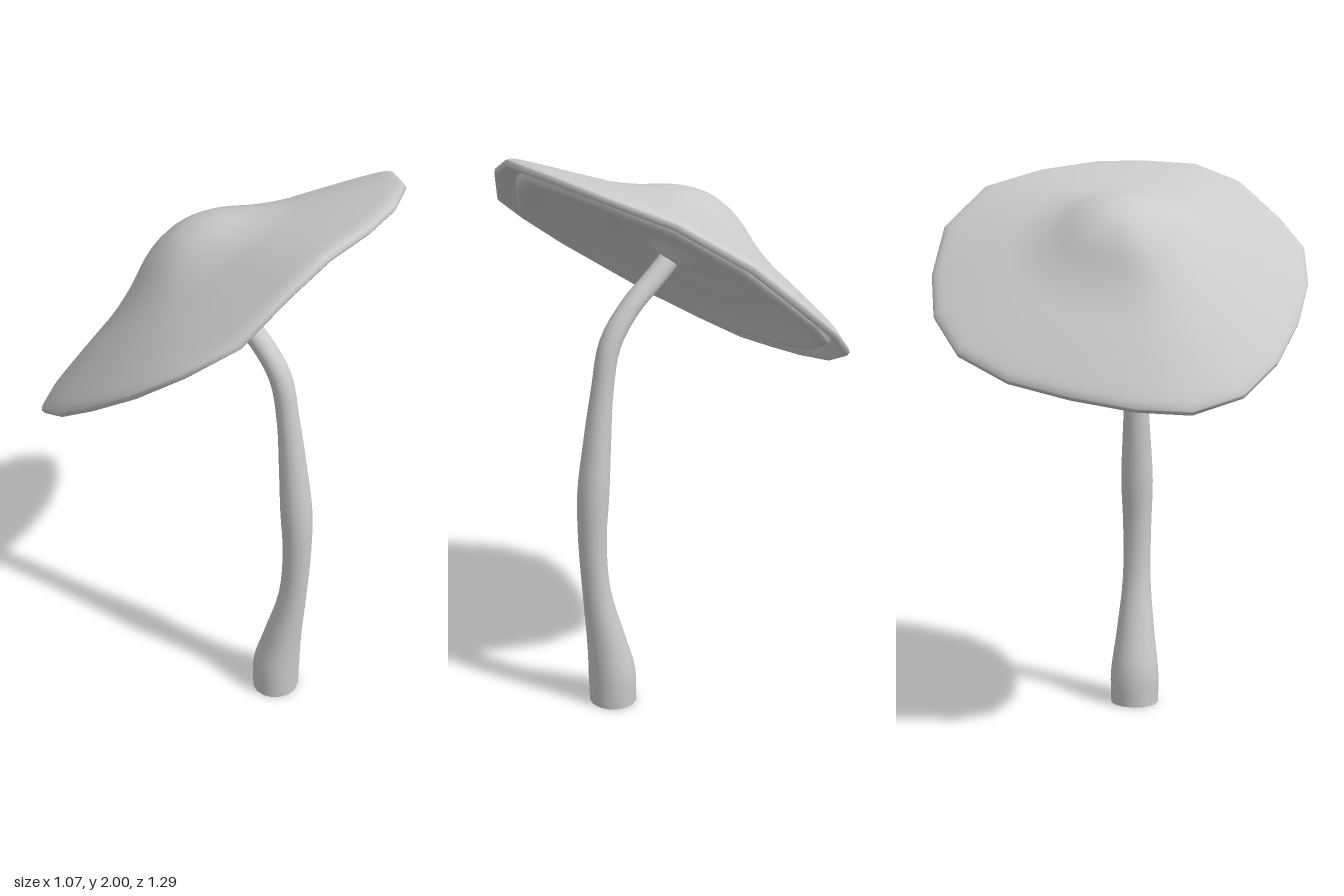
import * as THREE from 'three';
import { mergeVertices } from 'three/addons/utils/BufferGeometryUtils.js';

const V = (x, y, z) => new THREE.Vector3(x, y, z);

// Uneven outline of the cap, counter-clockwise seen from above
const RIM = [
  [0.53, 1.995, 0.03], [0.525, 1.993, -0.15], [0.46, 1.96, -0.36], [0.33, 1.9, -0.54],
  [0.12, 1.76, -0.645], [-0.08, 1.6, -0.645], [-0.25, 1.47, -0.6], [-0.39, 1.36, -0.49],
  [-0.46, 1.28, -0.31], [-0.5, 1.235, -0.1], [-0.53, 1.203, 0.12], [-0.52, 1.195, 0.3],
  [-0.44, 1.243, 0.46], [-0.29, 1.335, 0.56], [-0.12, 1.45, 0.62], [0.06, 1.57, 0.647],
  [0.23, 1.69, 0.627], [0.37, 1.79, 0.535], [0.455, 1.92, 0.385], [0.5, 1.983, 0.22],
].map((p) => V(...p));
const CENTRE = V(0, 1.595, 0);
const AXIS = V(-0.6, 0.797, 0.084).normalize();

// Skin closed rings of equal length into one smooth surface
function loft(name, rings, material) {
  const n = rings[0].length;
  const index = [];
  for (let i = 0; i < rings.length - 1; i++) {
    for (let j = 0; j < n; j++) {
      const k = (j + 1) % n;
      const a = i * n + j, b = (i + 1) * n + j, c = (i + 1) * n + k, d = i * n + k;
      index.push(a, b, c, a, c, d);
    }
  }
  const raw = new THREE.BufferGeometry().setFromPoints(rings.flat());
  raw.setIndex(index);
  const geometry = mergeVertices(raw);
  geometry.computeVertexNormals();
  const mesh = new THREE.Mesh(geometry, material);
  mesh.name = name;
  return mesh;
}

// Ring at a fraction of the rim, lifted along the cap's axis; the rim's warp fades inwards
const capRing = ([t, h]) => RIM.map((p) => {
  const warp = p.clone().sub(CENTRE).dot(AXIS);
  return CENTRE.clone().lerp(p, t).addScaledVector(AXIS, h + warp * (t * t - t));
});

const smooth = (points, n) =>
  new THREE.SplineCurve(points.map((p) => new THREE.Vector2(...p)))
    .getPoints(n).map((p) => [p.x, p.y]);

export function createModel() {
  const group = new THREE.Group();
  group.name = 'mushroom';
  const material = new THREE.MeshStandardMaterial({ color: 0xcccccc, side: THREE.DoubleSide });

  // Bell-shaped cap with a thin brim that turns under
  const crown = smooth([
    [0, 0.282], [0.1, 0.274], [0.22, 0.242], [0.36, 0.184], [0.5, 0.138],
    [0.65, 0.102], [0.82, 0.06], [0.96, 0.022], [1, 0],
  ], 32);
  const brim = [[0.995, -0.014], [0.98, -0.018], [0.94, -0.003], [0.885, 0.02]];
  group.add(loft('cap', [...crown, ...brim].map(capRing), material));

  // Gill disc: rounded edge, hollow middle, soft collar around the stem
  const gills = [[0.885, 0.025], ...smooth([
    [0.885, 0], [0.865, -0.018], [0.81, -0.018], [0.72, 0.002], [0.55, 0.026], [0.4, 0.034],
    [0.28, 0.05], [0.18, 0.05], [0.11, 0.034], [0.06, 0.02], [0, 0.018],
  ], 30)];
  group.add(loft('gills', gills.map(capRing), material));

  // Bent stem, open at the foot: each point holds x, y and radius
  const stemPath = new THREE.CatmullRomCurve3([
    V(0.238, 0, 0.084), V(0.241, 0.11, 0.085), V(0.262, 0.24, 0.07), V(0.3, 0.45, 0.05),
    V(0.313, 0.65, 0.05), V(0.306, 0.83, 0.056), V(0.289, 1.0, 0.049), V(0.264, 1.2, 0.039),
    V(0.23, 1.36, 0.038), V(0.15, 1.475, 0.036), V(0.05, 1.565, 0.036), V(-0.04, 1.65, 0.036),
  ]);
  const STEPS = 44, SIDES = 16, STEM_Z = 0.025, DEPTH = 1.05;
  const stemRings = [];
  for (let i = STEPS; i >= 0; i--) {
    const p = stemPath.getPoint(i / STEPS);
    const tan = i === 0 ? V(0, 1, 0) : stemPath.getTangent(i / STEPS).setZ(0).normalize();
    stemRings.push(Array.from({ length: SIDES }, (_, j) => {
      const a = (j / SIDES) * Math.PI * 2;
      const c = Math.cos(a) * p.z;
      return V(p.x + tan.y * c, p.y - tan.x * c, STEM_Z - Math.sin(a) * p.z * DEPTH);
    }));
  }
  group.add(loft('stem', stemRings, material));

  return group;
}
